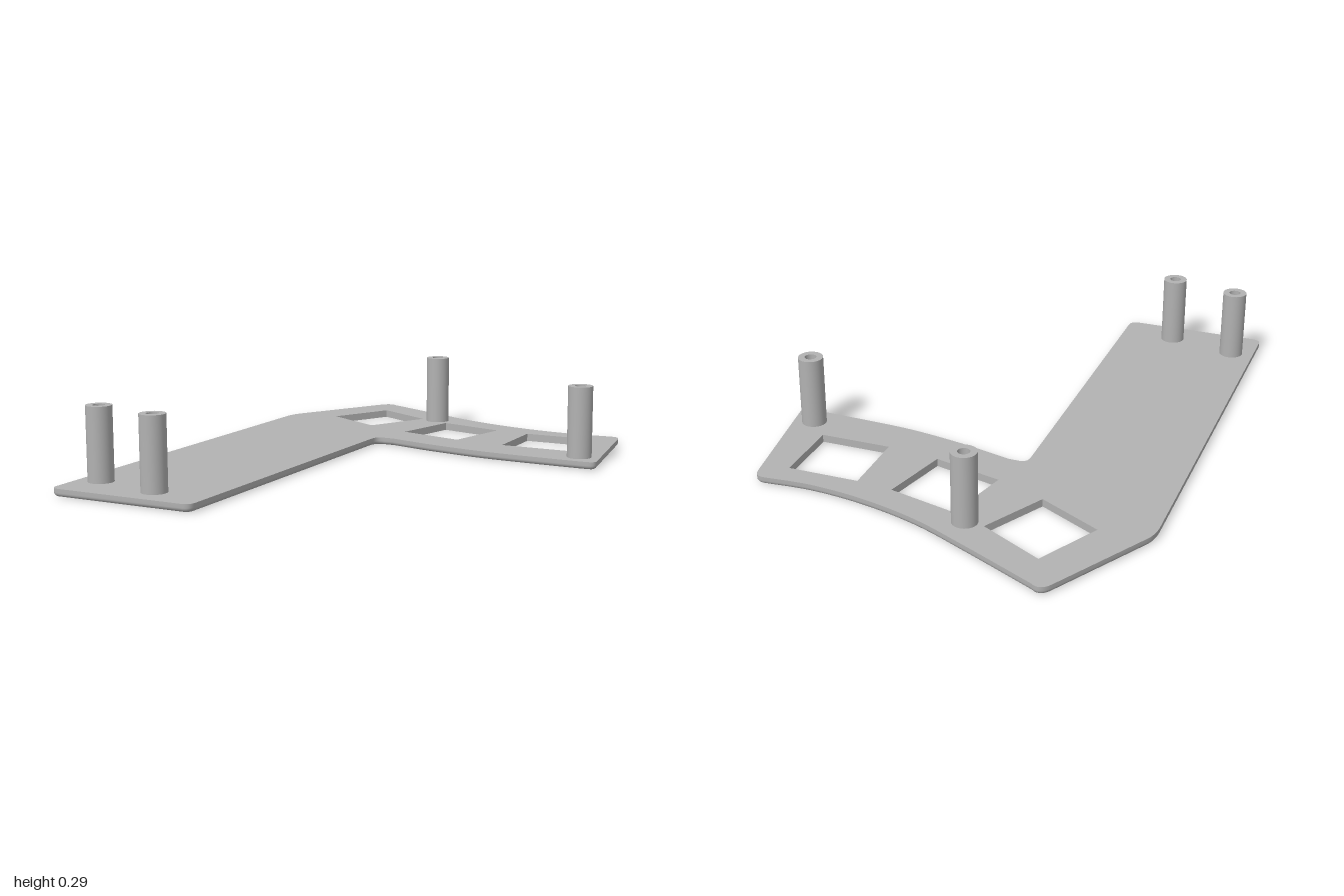
import * as THREE from 'three';

const THICK = 0.028, FILLET = 0.014, POST_TOP = 0.287;

// Plate outline, counter-clockwise seen from above (shape y = -z)
function plateOutline() {
  const v = (x, y) => new THREE.Vector2(x, y);
  const s = new THREE.Shape();
  s.moveTo(-0.697, -1);
  s.lineTo(-0.222, -1);
  s.quadraticCurveTo(-0.187, -1, -0.187, -0.965);
  s.lineTo(-0.187, 0.25);
  s.quadraticCurveTo(-0.187, 0.286, -0.155, 0.286);
  s.lineTo(-0.115, 0.285);
  s.splineThru([v(-0.05, 0.268), v(0.085, 0.236), v(0.3, 0.202), v(0.56, 0.19), v(0.695, 0.188)]);
  s.quadraticCurveTo(0.735, 0.188, 0.726, 0.225);
  s.lineTo(0.66, 0.66);
  s.quadraticCurveTo(0.654, 0.702, 0.615, 0.697);
  s.splineThru([v(0.444, 0.688), v(0.243, 0.712), v(0.03, 0.77), v(-0.18, 0.862), v(-0.45, 0.99)]);
  s.quadraticCurveTo(-0.488, 1.02, -0.515, 0.97);
  s.lineTo(-0.711, 0.625);
  s.quadraticCurveTo(-0.732, 0.59, -0.732, 0.54);
  s.lineTo(-0.732, -0.965);
  s.quadraticCurveTo(-0.732, -1, -0.697, -1);
  const pts = s.getPoints(8);
  if (pts[0].distanceTo(pts[pts.length - 1]) < 1e-5) pts.pop();
  return pts;
}

// Moves a closed outline inwards by d
function inset(pts, d) {
  const n = pts.length;
  return pts.map((p, i) => {
    const a = p.clone().sub(pts[(i + n - 1) % n]).normalize();
    const b = pts[(i + 1) % n].clone().sub(p).normalize();
    const t = a.add(b).normalize();
    return new THREE.Vector2(p.x - t.y * d, p.y + t.x * d);
  });
}

// Wall through rings of equal length, from bottom to top
function loft(rings) {
  const n = rings[0].pts.length, pos = [], idx = [];
  rings.forEach(({ pts, y }) => pts.forEach(p => pos.push(p.x, y, -p.y)));
  for (let r = 0; r < rings.length - 1; r++) {
    for (let i = 0; i < n; i++) {
      const a = r * n + i, b = r * n + (i + 1) % n;
      idx.push(a, b, b + n, a, b + n, a + n);
    }
  }
  const g = new THREE.BufferGeometry();
  g.setAttribute('position', new THREE.Float32BufferAttribute(pos, 3));
  g.setIndex(idx);
  g.computeVertexNormals();
  return g;
}

// Flat face with cut-outs, facing up or down
function cap(pts, holes, y, down) {
  const s = new THREE.Shape(pts);
  s.holes = holes.map(h => new THREE.Path(h));
  const g = new THREE.ShapeGeometry(s).rotateX(-Math.PI / 2).translate(0, y, 0);
  if (down) {
    g.index.array.reverse();
    g.computeVertexNormals();
  }
  return g;
}

// Square cut-out, clockwise so its walls face inwards
function squareHole(x, z, degrees) {
  const h = 0.129, c = new THREE.Vector2();
  return [[-h, -h], [-h, h], [h, h], [h, -h]].map(([px, py]) =>
    new THREE.Vector2(px, py).rotateAround(c, -degrees * Math.PI / 180).add(new THREE.Vector2(x, -z)));
}

export function createModel() {
  const model = new THREE.Group();
  const grey = new THREE.MeshStandardMaterial({ color: 0xb2b2b2 });
  grey.name = 'grey';

  const add = (parent, name, geometry) => {
    const m = new THREE.Mesh(geometry, grey);
    m.name = name;
    parent.add(m);
    return m;
  };

  // Plate with three square cut-outs and a rounded lower edge
  const plate = new THREE.Group();
  plate.name = 'plate';
  model.add(plate);
  const outline = plateOutline();
  const holes = [squareHole(-0.373, -0.679, 28), squareHole(0.02, -0.529, 14), squareHole(0.438, -0.48, 0)];
  const rings = [];
  for (let i = 0; i <= 4; i++) {
    const a = i / 4 * Math.PI / 2;
    rings.push({ pts: inset(outline, FILLET * (1 - Math.sin(a))), y: FILLET * (1 - Math.cos(a)) });
  }
  rings.push({ pts: outline, y: THICK });
  add(plate, 'plateEdge', loft(rings));
  add(plate, 'plateTop', cap(outline, holes, THICK, false));
  add(plate, 'plateBottom', cap(rings[0].pts, holes, 0, true));
  holes.forEach(h => {
    const wall = loft([{ pts: h, y: 0 }, { pts: h, y: THICK }]).toNonIndexed();
    wall.computeVertexNormals();
    add(plate, 'cutoutWall', wall);
  });

  // Hollow standoff posts
  const R = 0.0447, r = 0.021;
  const tube = new THREE.CylinderGeometry(R, R, POST_TOP - THICK, 40, 1, true);
  const bore = new THREE.CylinderGeometry(r, r, POST_TOP - THICK, 32, 1, true).scale(-1, 1, 1);
  bore.index.array.reverse();
  bore.computeVertexNormals();
  const rim = new THREE.RingGeometry(r, R, 40).rotateX(-Math.PI / 2);
  // Inside-out bore: reverse winding so the inner wall is seen from within
  const inner = new THREE.CylinderGeometry(r, r, POST_TOP - THICK, 32, 1, true);
  inner.index.array.reverse();
  inner.computeVertexNormals();
  [[-0.645, 0.841], [-0.391, 0.897], [-0.13, -0.727], [0.643, -0.267]].forEach(([x, z]) => {
    const post = new THREE.Group();
    post.name = 'standoffPost';
    post.position.set(x, (POST_TOP + THICK) / 2, z);
    add(post, 'postWall', tube);
    add(post, 'postBore', inner);
    add(post, 'postRim', rim).position.y = (POST_TOP - THICK) / 2;
    model.add(post);
  });

  return model;
}
